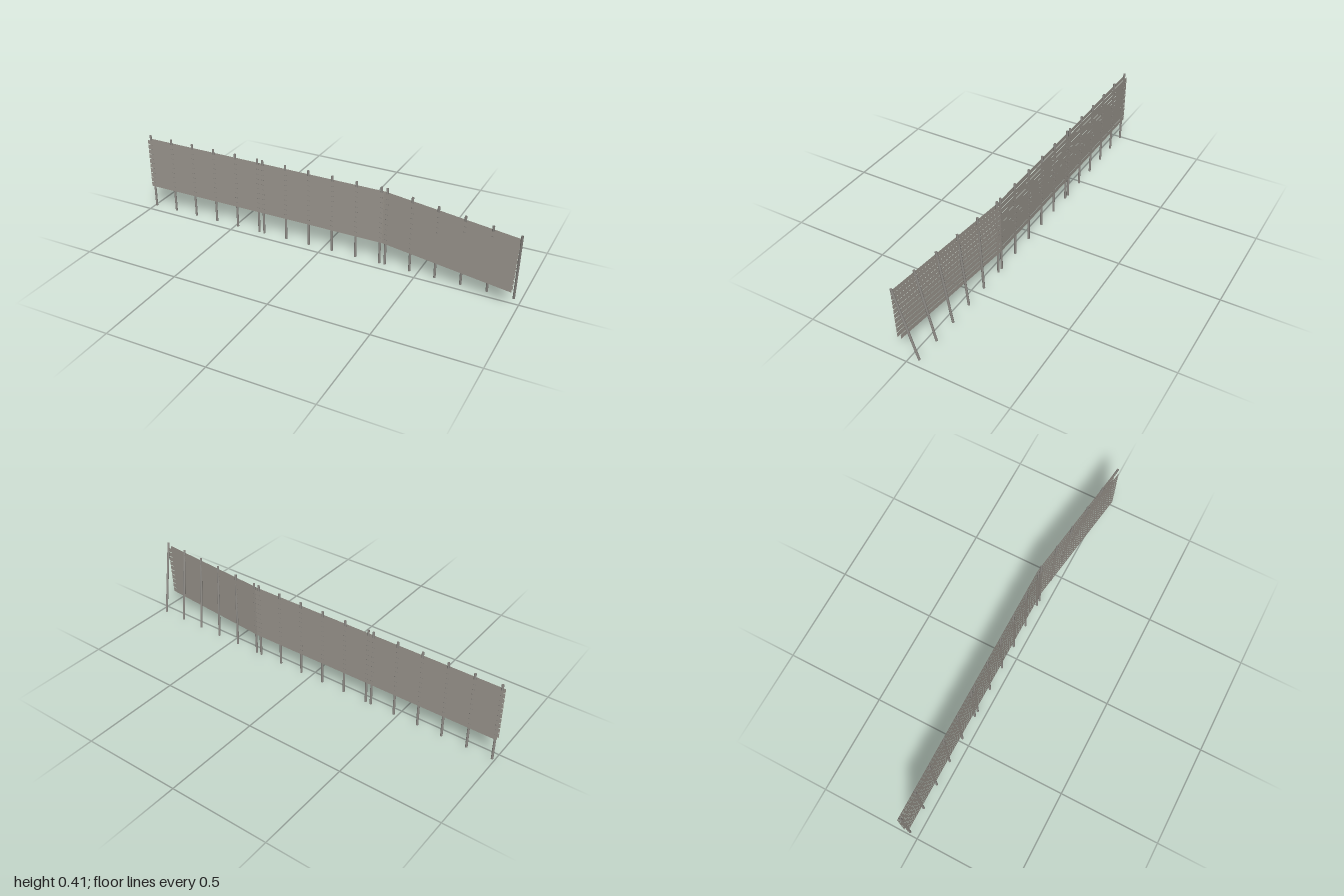
import * as THREE from 'three';

const plankMat = new THREE.MeshStandardMaterial({ color: 0x9b968e, side: THREE.DoubleSide });
plankMat.name = 'weathered plank grey';
const postMat = new THREE.MeshStandardMaterial({ color: 0x8f8c87, side: THREE.DoubleSide });
postMat.name = 'post grey';

const ROWS = 10, PITCH = 0.0267, HEIGHT = 0.0235, BASE = 0.121;
const POST_Z = -0.0435, POST_R = 0.0057, LAYER = 0.0097;

// Slim open tube from bottom point to top point
function post(bottom, top) {
  const dir = top.clone().sub(bottom);
  const mesh = new THREE.Mesh(
    new THREE.CylinderGeometry(POST_R, POST_R, dir.length(), 10, 1, true), postMat);
  mesh.position.copy(bottom).add(top).multiplyScalar(0.5);
  mesh.quaternion.setFromUnitVectors(new THREE.Vector3(0, 1, 0), dir.normalize());
  mesh.name = 'post';
  return mesh;
}

// Flat upright board, sheared so its far end sinks, swings forward and leans
function plank(x0, x1, y, z, sag) {
  const geo = new THREE.PlaneGeometry(1, HEIGHT);
  const p = geo.attributes.position;
  for (let i = 0; i < p.count; i++) {
    const t = p.getX(i) + 0.5;
    const h = y + p.getY(i);
    const lean = sag * t * 0.045 * (h - 0.25);
    p.setXYZ(i, x0 + (x1 - x0) * t + lean, h - sag * t * 0.03, z + sag * t * 0.0885);
  }
  geo.computeVertexNormals();
  const mesh = new THREE.Mesh(geo, plankMat);
  mesh.name = 'plank';
  return mesh;
}

// Fence section: six posts sandwiched between two layers of planks
function section(name, x0, x1, firstPost, sag) {
  const g = new THREE.Group();
  g.name = name;
  for (let i = 0; i < 6; i++) {
    const t = sag * i / 5;
    const x = firstPost + i * 0.1265;
    const bottom = new THREE.Vector3(x - t * 0.001, 0.003 - t * 0.002, POST_Z + t * 0.001);
    const top = new THREE.Vector3(x + t * 0.0235, 0.409 - t * 0.034, POST_Z + t * 0.089);
    g.add(post(bottom, top));
  }
  for (const side of [-1, 1]) {
    for (let r = 0; r < ROWS; r++) {
      g.add(plank(x0, x1, BASE + HEIGHT / 2 + r * PITCH, POST_Z + side * LAYER, sag));
    }
  }
  return g;
}

export function createModel() {
  const fence = new THREE.Group();
  fence.name = 'fence';
  fence.add(section('leftmostSection', -1, -0.341, -0.988, 0));
  fence.add(section('middleSection', -0.341, 0.32, -0.327, 0));
  // This section is toppling forward at its free end
  fence.add(section('leaningSection', 0.32, 0.979, 0.334, 1));
  return fence;
}
